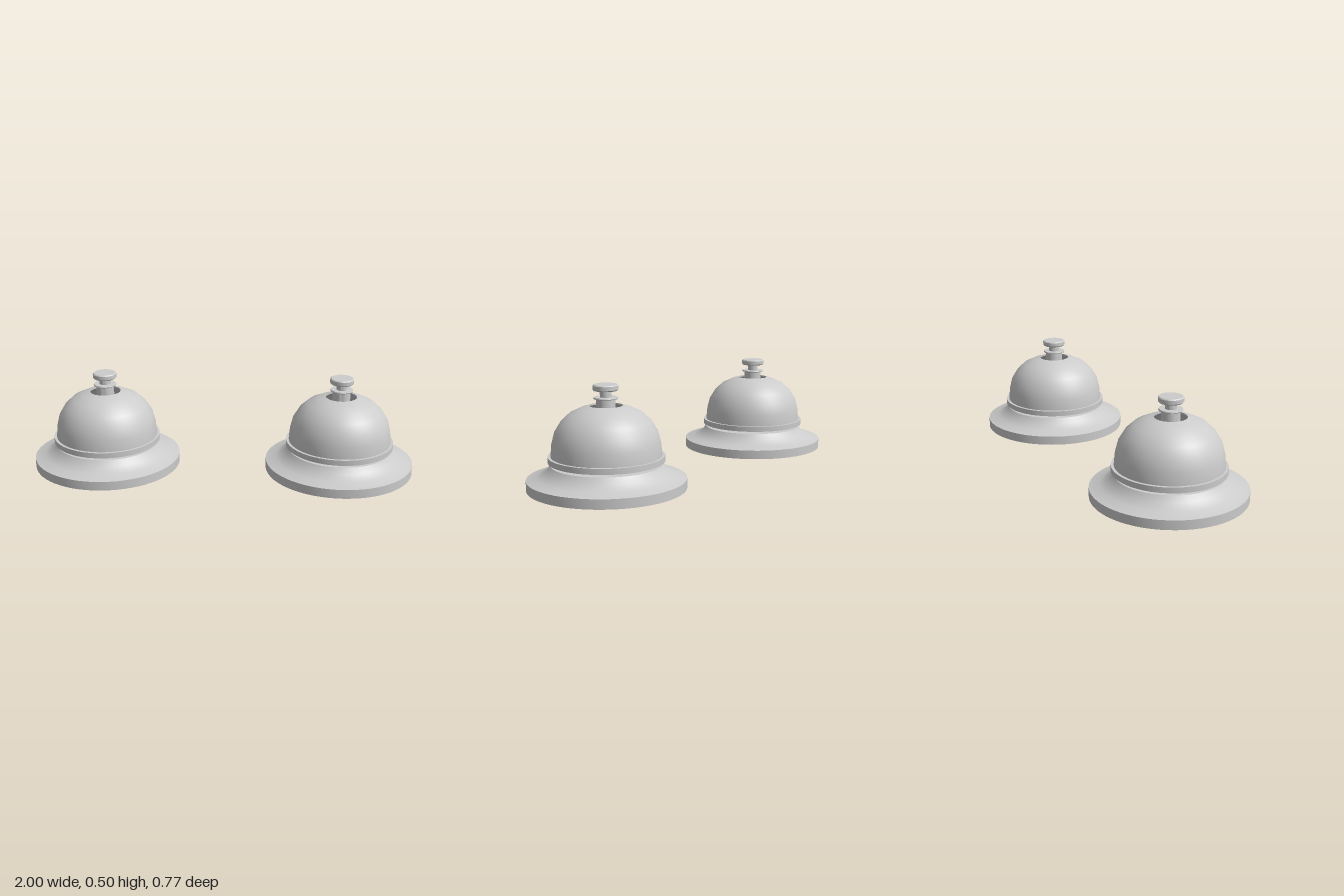
import * as THREE from 'three';
import { toCreasedNormals } from 'three/addons/utils/BufferGeometryUtils.js';

const material = new THREE.MeshStandardMaterial({ color: 0xcccccc, side: THREE.DoubleSide });

// Revolve a [radius, height] profile, keeping hard edges sharp
function turned(name, profile, segments = 48) {
  const points = profile.map(([r, y]) => new THREE.Vector2(r, y));
  const geometry = toCreasedNormals(new THREE.LatheGeometry(points, segments), Math.PI / 6);
  const mesh = new THREE.Mesh(geometry, material);
  mesh.name = name;
  return mesh;
}

function createBell() {
  const bell = new THREE.Group();

  // Flared foot with a closed top and bottom
  bell.add(turned('base', [
    [0, 0], [0.384, 0], [0.384, 0.047], [0.33, 0.061],
    [0.287, 0.086], [0.267, 0.115], [0, 0.115],
  ], 64));

  // Hollow dome, open below and around the plunger
  const outer = [
    [0.265, 0.13], [0.265, 0.159], [0.26, 0.216], [0.246, 0.272],
    [0.215, 0.323], [0.173, 0.362], [0.118, 0.388], [0.08, 0.398],
  ];
  const inner = outer.map(([r, y], i) => [
    i === outer.length - 1 ? r : r - 0.007,
    i === 0 ? y : y - 0.008,
  ]).reverse();
  bell.add(turned('dome', [...outer, ...inner, outer[0]], 64));

  // Band around the lower edge of the dome
  bell.add(turned('rim', [
    [0.262, 0.13], [0.279, 0.13], [0.279, 0.158], [0.262, 0.158], [0.262, 0.13],
  ], 64));

  // Collar with a thin flange, reaching down through the dome opening
  bell.add(turned('collar', [
    [0, 0.32], [0.046, 0.32], [0.046, 0.43], [0.057, 0.43],
    [0.059, 0.433], [0.057, 0.438], [0, 0.438],
  ], 32));

  // Plunger shaft and push button
  bell.add(turned('plunger', [[0, 0.43], [0.028, 0.43], [0.028, 0.475], [0, 0.475]], 32));
  bell.add(turned('button', [
    [0, 0.469], [0.056, 0.469], [0.061, 0.474], [0.061, 0.493], [0.056, 0.498], [0, 0.498],
  ], 32));
  return bell;
}

export function createModel() {
  const model = new THREE.Group();
  model.name = 'deskBells';
  for (const side of [1, -1]) {
    const bell = createBell();
    bell.name = side > 0 ? 'leftBell' : 'rightBell';
    bell.position.x = side * 0.616;
    model.add(bell);
  }
  return model;
}
